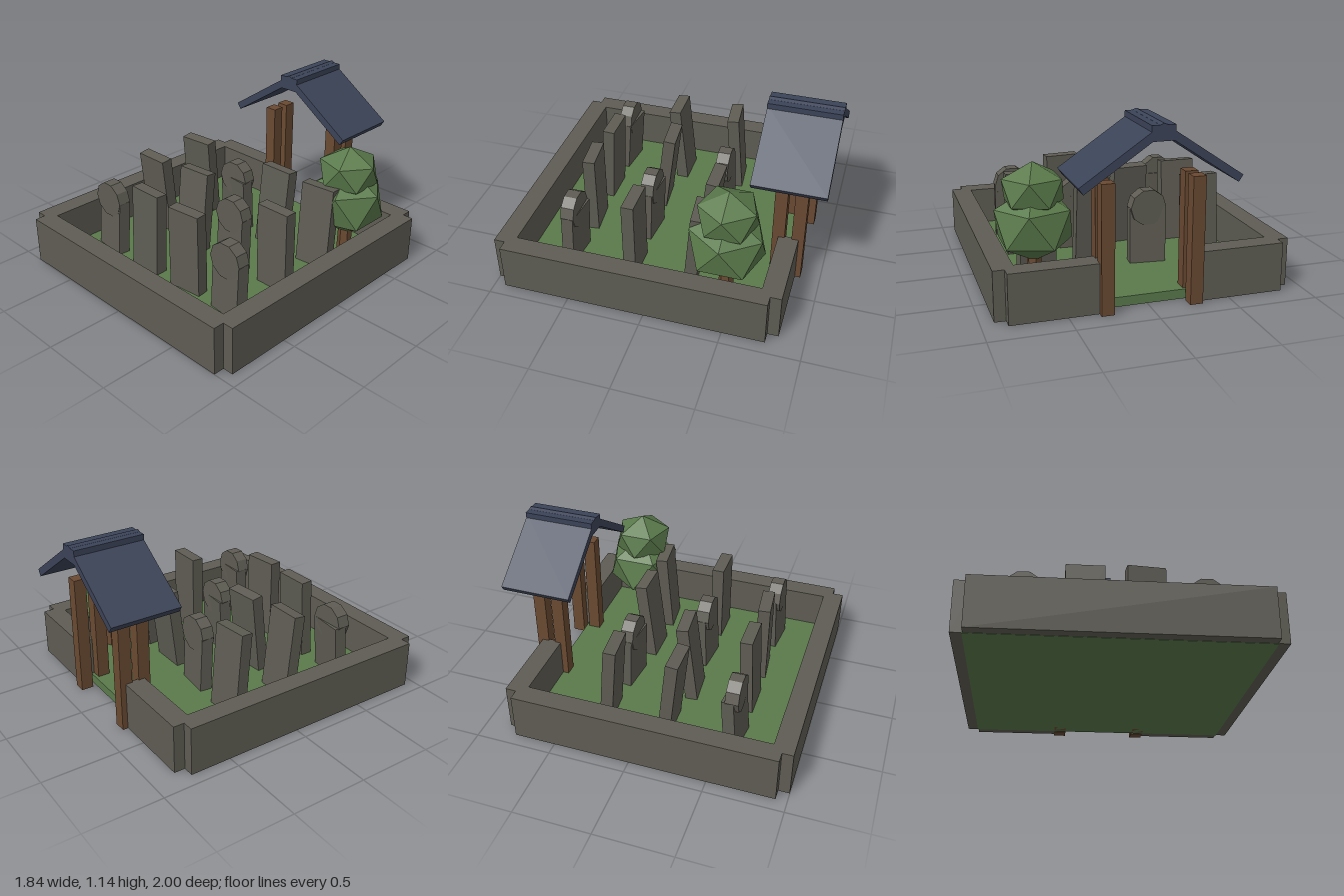
import * as THREE from 'three';

const mat = (name, color) => {
  const m = new THREE.MeshStandardMaterial({ color });
  m.name = name;
  m.flatShading = true;
  return m;
};

export function createModel() {
  const root = new THREE.Group();
  root.name = 'graveyard';
  const stone = mat('stone grey', 0x5e5c53);
  const grass = mat('leaf green', 0x5a7a4b);
  const wood = mat('wood brown', 0x6a4a32);
  const slate = mat('slate blue', 0x3b4357);

  const add = (name, geo, material, x, y, z, parent = root) => {
    const m = new THREE.Mesh(geo, material);
    m.name = name;
    m.position.set(x, y, z);
    parent.add(m);
    return m;
  };
  const box = (name, w, h, d, material, x, y, z, parent) =>
    add(name, new THREE.BoxGeometry(w, h, d), material, x, y, z, parent);

  // ground slab and boundary walls, with an entrance gap at the back
  box('ground', 1.71, 0.06, 1.7, grass, 0, 0.03, 0.08);
  const wallH = 0.311, wallY = 0.002 + wallH / 2;
  box('frontWall', 1.7, wallH, 0.13, stone, 0, wallY, 0.935);
  for (const s of [-1, 1]) {
    box('sideWall', 0.13, wallH, 1.7, stone, s * 0.855, wallY, 0.08);
    box('backWall', 0.55, wallH, 0.13, stone, s * 0.575, wallY, -0.775);
  }

  // entrance gate: paired posts, sloping roof boards and ridge
  const gate = new THREE.Group();
  gate.name = 'gate';
  root.add(gate);
  for (const s of [-1, 1]) {
    for (const z of [-0.71, -0.835]) box('gatePost', 0.08, 0.79, 0.08, wood, s * 0.275, 0.395, z, gate);
    const board = box('roofBoard', 0.517, 0.048, 0.46, slate, s * 0.254, 0.94, -0.77, gate);
    board.rotation.z = -s * 0.595;
  }
  box('ridgeBeam', 0.14, 0.09, 0.46, slate, 0, 1.085, -0.77, gate);
  add('ridgeCap', new THREE.CylinderGeometry(0.032, 0.032, 0.46, 8).rotateX(Math.PI / 2), slate, 0, 1.108, -0.77, gate);

  // headstones: [x, z, turn, lean, rounded]
  const headGeo = new THREE.CylinderGeometry(0.12, 0.12, 0.086, 10)
    .rotateY(Math.PI / 10).rotateX(Math.PI / 2);
  const stones = [
    [-0.55, 0.575, -0.11, -0.08, true], [-0.185, 0.575, 0, -0.05, false],
    [0.18, 0.575, 0.1, 0, false], [0.545, 0.575, -0.09, -0.05, true],
    [-0.55, 0.17, 0, 0.1, false], [-0.185, 0.17, 0.08, -0.12, false],
    [0.18, 0.17, -0.09, -0.04, true], [0.545, 0.17, 0, 0, false],
    [-0.55, -0.235, 0.09, 0.08, false], [-0.185, -0.235, -0.1, 0.04, true],
    [0.18, -0.235, 0, -0.115, false], [0.545, -0.235, 0.1, -0.08, false],
  ];
  for (const [x, z, turn, lean, rounded] of stones) {
    const top = rounded ? 0.43 : 0.613, base = 0.055;
    const slab = box('headstone', 0.237, top - base, 0.08, stone, x, (top + base) / 2, z);
    slab.rotation.set(lean, turn, 0, 'YXZ');
    if (rounded) add('headstoneCrown', headGeo, stone, x, 0.43, z);
  }

  // tree: trunk and two faceted crowns, each with a point at the top
  const tree = new THREE.Group();
  tree.name = 'tree';
  tree.position.set(0.61, 0, -0.45);
  root.add(tree);
  add('trunk', new THREE.CylinderGeometry(0.04, 0.05, 0.42, 6), wood, 0, 0.26, 0, tree);
  const crown = (name, r, ry, y) => add(name,
    new THREE.IcosahedronGeometry(1, 0).rotateZ(-0.5536).scale(r, ry, r), grass, 0, y, 0, tree);
  crown('lowerCrown', 0.265, 0.235, 0.46);
  crown('upperCrown', 0.21, 0.17, 0.672);

  return root;
}
